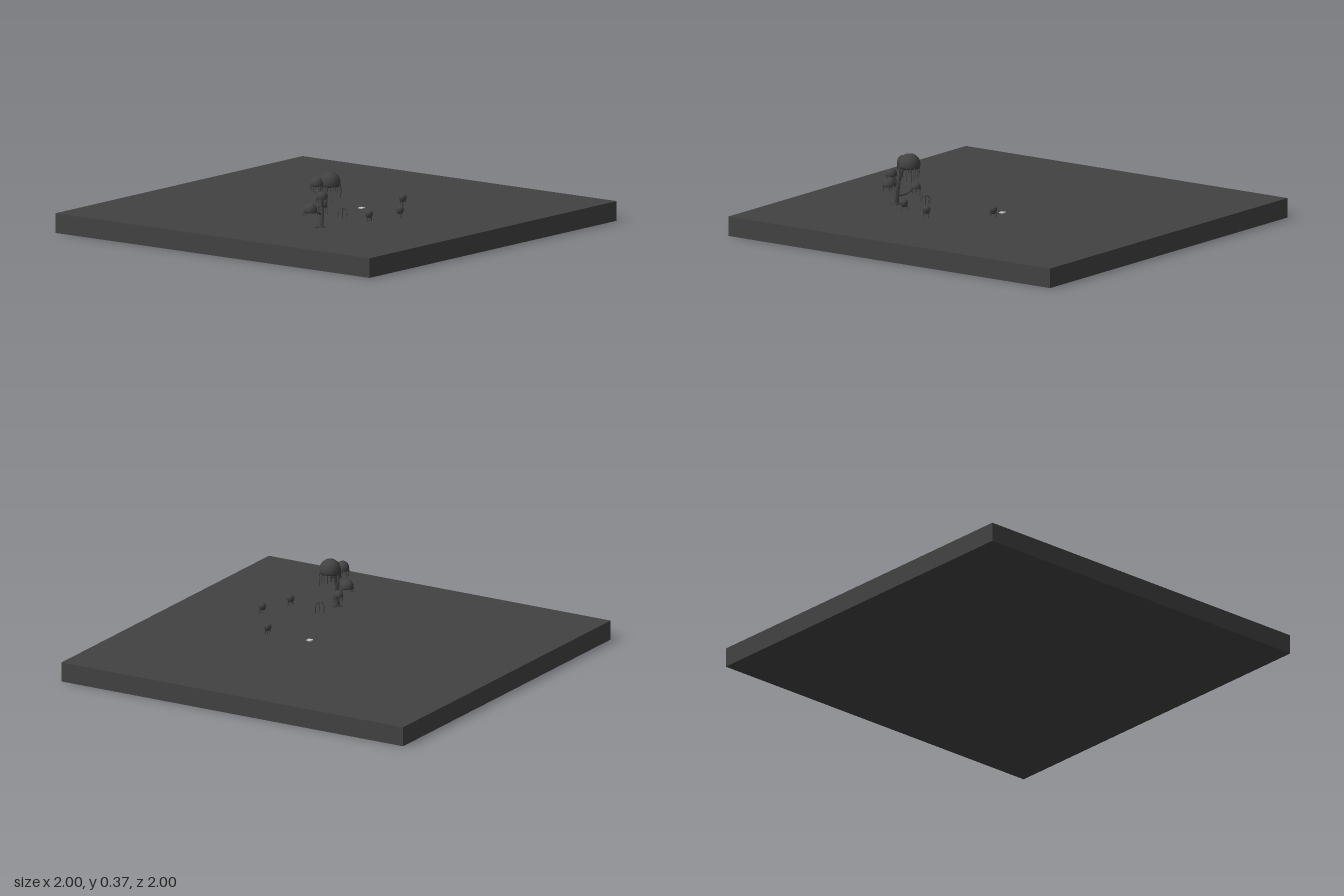
import * as THREE from 'three';

const dark = new THREE.MeshStandardMaterial({ color: 0x424242, side: THREE.DoubleSide });
const grey = new THREE.MeshStandardMaterial({ color: 0xcccccc });
const V = (x, y, z) => new THREE.Vector3(x, y, z);

// Small seeded generator for strand lengths
let seed = 7;
const rand = () => (seed = (seed * 16807) % 2147483647) / 2147483647;

function add(parent, name, geometry, material = dark) {
  const mesh = new THREE.Mesh(geometry, material);
  mesh.name = name;
  parent.add(mesh);
  return mesh;
}

// Limb along a smooth path, tapering from r0 to r1
function limb(parent, name, points, r0, r1, segments = 12, sides = 7) {
  const curve = new THREE.CatmullRomCurve3(points.map(p => V(...p)));
  const geo = new THREE.TubeGeometry(curve, segments, 1, sides);
  const pos = geo.attributes.position;
  const p = V(), c = V();
  for (let i = 0; i < pos.count; i++) {
    const t = Math.floor(i / (sides + 1)) / segments;
    curve.getPointAt(t, c);
    p.fromBufferAttribute(pos, i).sub(c).multiplyScalar(r0 + (r1 - r0) * t).add(c);
    pos.setXYZ(i, p.x, p.y, p.z);
  }
  geo.computeVertexNormals();
  return add(parent, name, geo);
}

// Drooping strands that spread from a centre and hang down
function strands(parent, count, radius, minLength, maxLength, thick) {
  for (let i = 0; i < count; i++) {
    const a = (i + rand() * 0.5) / count * Math.PI * 2;
    const r = radius * (0.85 + rand() * 0.3);
    const len = minLength + (maxLength - minLength) * rand();
    const x = Math.cos(a) * r, z = Math.sin(a) * r;
    limb(parent, 'strand', [
      [x * 0.3, radius * 0.3, z * 0.3],
      [x * 0.85, 0, z * 0.85],
      [x, -len * 0.5, z],
      [x * 0.95, -len, z * 0.95],
    ], thick, thick * 0.3, 6, 4);
  }
}

// Domed foliage clump: rounded cap, shallow underside, hanging strands
function clump(parent, x, y, z, r, drop) {
  const group = new THREE.Group();
  group.name = 'foliageClump';
  group.position.set(x, y, z);
  const profile = [[0, -0.25], [0.55, -0.3], [0.92, -0.35], [1, -0.1], [0.95, 0.3],
    [0.78, 0.64], [0.45, 0.9], [0, 1]].map(([px, py]) => new THREE.Vector2(px * r, py * r));
  add(group, 'foliageCap', new THREE.LatheGeometry(profile, 14));
  strands(group, Math.round(8 + r * 160), r * 0.95, drop * 0.45, drop, 0.003);
  parent.add(group);
}

export function createModel() {
  const model = new THREE.Group();
  model.name = 'landscape';

  // Ground slab and small plate
  add(model, 'ground', new THREE.BoxGeometry(2, 0.1, 2)).position.y = 0.05;
  add(model, 'plate', new THREE.BoxGeometry(0.025, 0.005, 0.025), grey).position.set(0.055, 0.1025, 0.12);

  // Weeping tree: trunk, branches, roots
  const tree = new THREE.Group();
  tree.name = 'weepingTree';
  model.add(tree);
  limb(tree, 'trunk', [[-0.485, 0.1, 0.285], [-0.478, 0.16, 0.285], [-0.472, 0.22, 0.28], [-0.465, 0.31, 0.255]], 0.013, 0.007);
  const branches = [
    [[-0.47, 0.23, 0.28], [-0.445, 0.28, 0.28], [-0.405, 0.32, 0.28]],
    [[-0.475, 0.2, 0.283], [-0.485, 0.23, 0.295], [-0.497, 0.265, 0.305]],
    [[-0.478, 0.165, 0.285], [-0.51, 0.185, 0.275], [-0.54, 0.205, 0.265]],
    [[-0.478, 0.15, 0.285], [-0.435, 0.162, 0.26], [-0.405, 0.2, 0.232]],
  ];
  for (const path of branches) limb(tree, 'branch', path, 0.007, 0.004, 8, 6);
  for (let i = 0; i < 6; i++) {
    const a = i / 6 * Math.PI * 2;
    const c = Math.cos(a), s = Math.sin(a);
    limb(tree, 'root', [[-0.485, 0.125, 0.285], [-0.485 + c * 0.012, 0.107, 0.285 + s * 0.012],
      [-0.485 + c * 0.032, 0.1, 0.285 + s * 0.032]], 0.007, 0.002, 6, 5);
  }

  // Foliage: x, y, z, radius, strand drop
  [
    [-0.405, 0.318, 0.28, 0.055, 0.1],
    [-0.467, 0.317, 0.245, 0.034, 0.06],
    [-0.5, 0.26, 0.305, 0.028, 0.045],
    [-0.542, 0.195, 0.265, 0.034, 0.045],
    [-0.402, 0.193, 0.23, 0.024, 0.045],
  ].forEach(c => clump(tree, ...c));

  // Small floating plants with a rounded cap and trailing strands
  const capProfile = [[0, -0.022], [0.013, -0.018], [0.018, -0.005], [0.02, 0.005],
    [0.016, 0.014], [0.008, 0.019], [0, 0.02]].map(p => new THREE.Vector2(...p));
  for (const [x, z, capped] of [[-0.31, 0.455, 1], [-0.13, 0.51, 1], [0.14, 0.315, 1], [-0.305, 0.28, 0]]) {
    const plant = new THREE.Group();
    plant.name = capped ? 'smallPlant' : 'barePlant';
    plant.position.set(x, 0.163, z);
    if (capped) add(plant, 'plantCap', new THREE.LatheGeometry(capProfile, 12));
    strands(plant, 8, capped ? 0.015 : 0.024, 0.025, 0.05, 0.002);
    model.add(plant);
  }
  return model;
}
